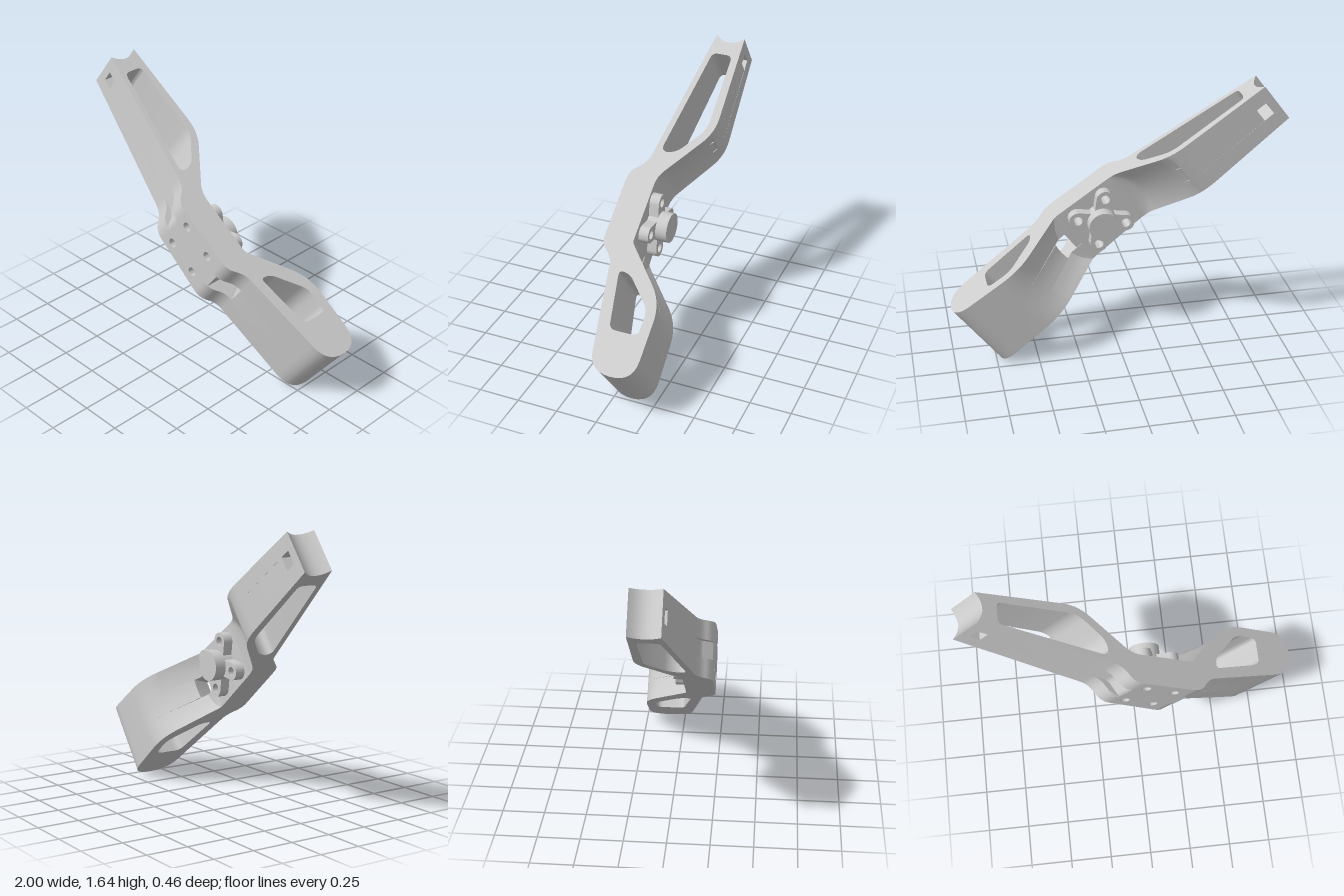
import * as THREE from 'three';
import { mergeGeometries, toCreasedNormals } from 'three/addons/utils/BufferGeometryUtils.js';

// Working frame: u along the arm (x), v across it (y), z front to back.
const HUB = 1.245;                             // hub position along the arm
const halfWidth = u => 0.128 + 0.0432 * u;     // the arm widens toward its broad end
const SLOT = 0.32;                             // share of the width taken by the slots

// Polygon with softened corners, points are [x, y, cornerRadius]
function rounded(points, path = new THREE.Shape()) {
  const n = points.length;
  points.forEach(([x, y, r = 0], i) => {
    const toward = ([a, b]) => {
      const l = Math.hypot(a - x, b - y);
      return [x + (a - x) * r / l, y + (b - y) * r / l];
    };
    const start = toward(points[(i + n - 1) % n]);
    if (i) path.lineTo(...start); else path.moveTo(...start);
    if (r) path.quadraticCurveTo(x, y, ...toward(points[(i + 1) % n]));
  });
  path.closePath();
  return path;
}

// Extrude a side profile across part of the width (s0..s1 within -1..1)
function strip(profile, window, s0, s1) {
  const shape = rounded(profile);
  if (window) shape.holes.push(rounded(window, new THREE.Path()));
  const g = new THREE.ExtrudeGeometry(shape, {
    depth: s1 - s0, steps: 4, curveSegments: 7, bevelEnabled: false });
  const p = g.attributes.position;
  for (let i = 0; i < p.count; i++) {
    let u = p.getX(i);
    const z = p.getY(i), s = p.getZ(i) + s0, h = halfWidth(u), d = Math.abs(u - HUB);
    // the back recess is a cone around the hub, so its walls bow outward
    if (z < 0.045 && d + 1.36 * z < 0.33) {
      u = HUB + Math.sign(u - HUB) * Math.sqrt(d * d + h * h * (1 - s * s));
    }
    p.setXYZ(i, u, -s * halfWidth(u), z);
  }
  return g;
}

function armGeometry(full, middles, window) {
  const parts = [strip(full, window, -1, -SLOT), strip(full, window, SLOT, 1)];
  for (const [profile, hole] of middles) parts.push(strip(profile, hole, -SLOT, SLOT));
  return toCreasedNormals(mergeGeometries(parts), 0.55);
}

export function createModel() {
  const material = new THREE.MeshStandardMaterial({ color: 0xcccccc });
  const model = new THREE.Group();
  model.name = 'mountingArm';
  const arm = new THREE.Group();
  arm.name = 'arm';
  arm.rotation.z = Math.atan2(-1.36, 1.785);
  arm.position.set(-0.92, 1.54, 0);
  model.add(arm);
  const add = (name, geometry) => {
    const mesh = new THREE.Mesh(geometry, material);
    mesh.name = name;
    arm.add(mesh);
    return mesh;
  };

  // Narrow arm: grooved tip, long side window, small square slot near the tip
  const narrowWindow = [[0.13, -0.015, 0.035], [0.13, -0.14, 0.035], [0.65, -0.147, 0.06],
    [0.84, -0.005, 0.06], [0.845, 0.085, 0.05]];
  const groove = [[0, -0.18], [0.08, -0.09, 0.118]];
  const recess = [[1.08, 0.05], [1.01, 0.05, 0.06], [0.66, -0.2, 0.1]];
  add('narrowArm', armGeometry(
    [[0, 0], [0.93, 0.135, 0.06], [1.01, 0.23, 0.06], [1.08, 0.23], ...recess, ...groove],
    [
      [[[0, 0], [0.052, 0.008], [0.052, -0.181], ...groove]],
      [[[0.12, 0.017], [0.99, 0.143, 0.03], [1.055, 0.23, 0.02], [1.08, 0.23], ...recess,
        [0.12, -0.182]], narrowWindow],
    ], narrowWindow));

  // Broad arm: rounded end, side window, cable slot beside the hub
  const broadWindow = [[1.63, 0.07, 0.03], [1.635, 0, 0.04], [1.82, -0.17, 0.05],
    [1.98, -0.17, 0.04], [1.98, 0.005, 0.04]];
  const roundEnd = [[2.244, 0.035, 0.13], [2.244, -0.23, 0.13], [1.76, -0.23, 0.12]];
  add('broadArm', armGeometry(
    [[1.42, 0.23], [1.49, 0.23, 0.05], [1.565, 0.145, 0.05], ...roundEnd,
      [1.445, 0.05, 0.02], [1.42, 0.05]],
    [
      [[[1.42, 0.23], [1.475, 0.23], [1.475, 0.05], [1.42, 0.05]]],
      [[[1.488, 0.005], [1.615, 0.136], ...roundEnd], broadWindow],
    ], broadWindow));

  // Mounting pad with four screw holes
  const HOLE = 0.028, OFFSET = 0.104;
  const a = 1.08, b = 1.42;
  const pad = rounded([[a, -halfWidth(a)], [b, -halfWidth(b)], [b, halfWidth(b)], [a, halfWidth(a)]]);
  for (const i of [-1, 1]) for (const j of [-1, 1]) {
    pad.holes.push(new THREE.Path().absarc(HUB + i * OFFSET, j * OFFSET, HOLE, 0, Math.PI * 2, true));
  }
  const padGeometry = new THREE.ExtrudeGeometry(pad, { depth: 0.18, curveSegments: 12, bevelEnabled: false });
  add('mountingPad', toCreasedNormals(padGeometry, 0.6)).position.z = 0.05;

  // Four rounded lugs on the back, around a central hub
  const reach = OFFSET * Math.SQRT2, R = 0.052;
  for (let k = 0; k < 4; k++) {
    const lug = new THREE.Shape();
    lug.moveTo(0, -R);
    lug.lineTo(reach, -R);
    lug.absarc(reach, 0, R, -Math.PI / 2, Math.PI / 2, false);
    lug.lineTo(0, R);
    lug.closePath();
    lug.holes.push(new THREE.Path().absarc(reach, 0, HOLE, 0, Math.PI * 2, true));
    const g = new THREE.ExtrudeGeometry(lug, { depth: 0.062, curveSegments: 12, bevelEnabled: false });
    const mesh = add('screwLug', toCreasedNormals(g, 0.6));
    mesh.position.set(HUB, 0, -0.01);
    mesh.rotation.z = Math.PI / 4 + k * Math.PI / 2;
  }
  const hub = add('hub', new THREE.CylinderGeometry(0.09, 0.09, 0.135, 28));
  hub.rotation.x = Math.PI / 2;
  hub.position.set(HUB, 0, -0.0125);

  return model;
}
